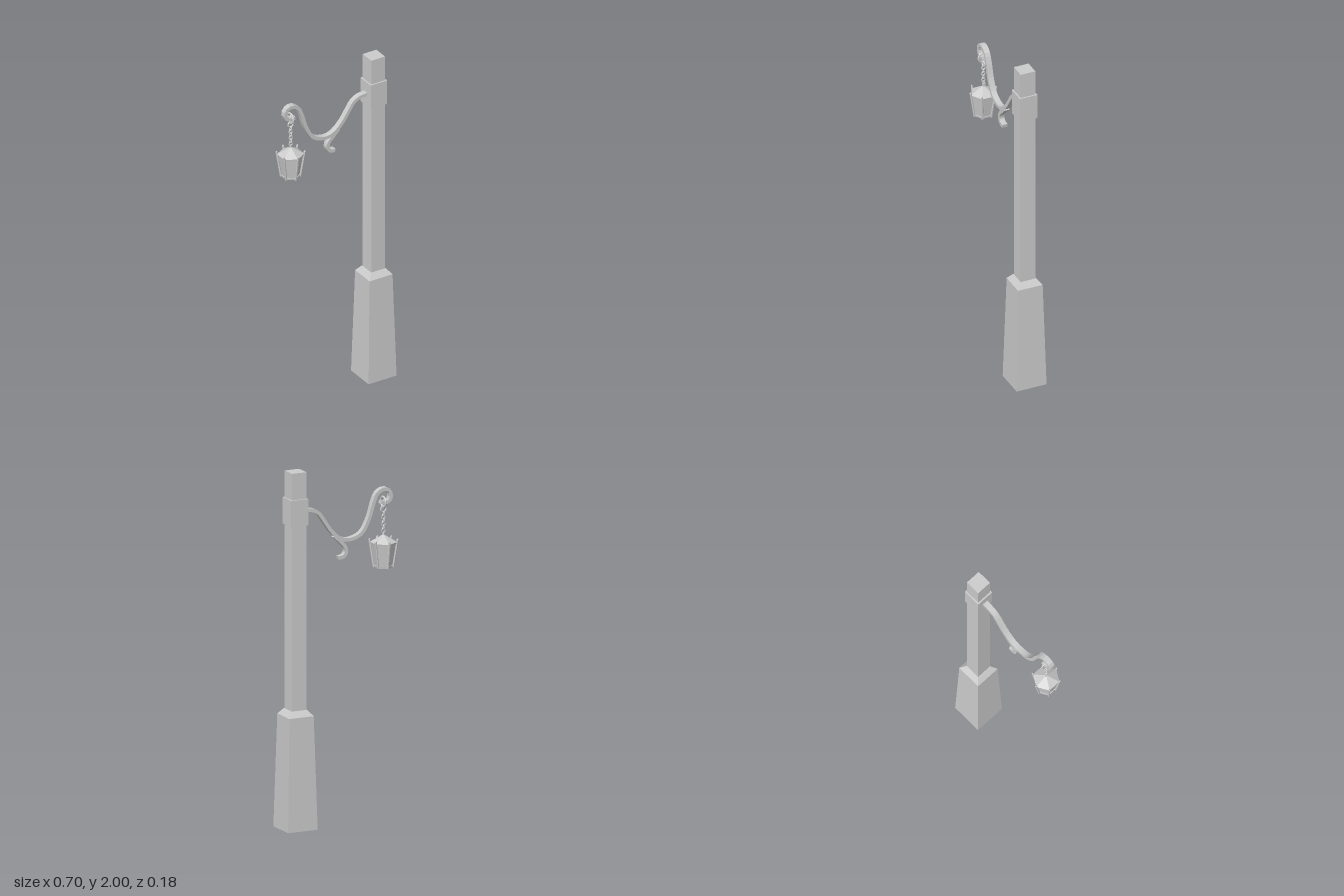
import * as THREE from 'three';

const metal = new THREE.MeshStandardMaterial({ color: 0xcccccc, flatShading: true });
const POST_X = 0.257, LAMP_X = -0.278;

function add(parent, name, geometry, x = 0, y = 0, z = 0) {
  const mesh = new THREE.Mesh(geometry, metal);
  mesh.name = name;
  mesh.position.set(x, y, z);
  parent.add(mesh);
  return mesh;
}

// Square block that tapers from half-width a (bottom) to b (top)
function taperedBlock(a, b, height) {
  return new THREE.CylinderGeometry(b * Math.SQRT2, a * Math.SQRT2, height, 4).rotateY(Math.PI / 4);
}

// Flat bar following a curve in the xy plane, given thickness and depth in z
function bar(points, segments, thickness, depth) {
  const curve = new THREE.CatmullRomCurve3(points.map(([x, y]) => new THREE.Vector3(x, y, 0)));
  const upper = [], lower = [];
  for (let i = 0; i <= segments; i++) {
    const p = curve.getPointAt(i / segments), t = curve.getTangentAt(i / segments);
    const nx = -t.y * thickness / 2, ny = t.x * thickness / 2;
    upper.push(new THREE.Vector2(p.x + nx, p.y + ny));
    lower.unshift(new THREE.Vector2(p.x - nx, p.y - ny));
  }
  const shape = new THREE.Shape([...upper, ...lower]);
  return new THREE.ExtrudeGeometry(shape, { depth, bevelEnabled: false }).translate(0, 0, -depth / 2);
}

// Thin round rod between two points
function rod(a, b, radius) {
  return new THREE.TubeGeometry(new THREE.LineCurve3(a, b), 1, radius, 6, false);
}

function buildLantern() {
  const lantern = new THREE.Group();
  lantern.name = 'lantern';
  lantern.position.x = LAMP_X;
  const bottom = 1.405, rim = 1.54;

  // Hexagonal panes, floor, rim and roof
  add(lantern, 'lanternPanes', new THREE.CylinderGeometry(0.068, 0.047, rim - bottom - 0.006, 6), 0, (rim + bottom) / 2);
  add(lantern, 'lanternFloor', new THREE.CylinderGeometry(0.054, 0.052, 0.01, 6), 0, bottom + 0.005);
  add(lantern, 'lanternRim', new THREE.CylinderGeometry(0.075, 0.073, 0.01, 6), 0, rim);
  add(lantern, 'lanternRoof', new THREE.CylinderGeometry(0.008, 0.075, 0.04, 6), 0, rim + 0.025);
  add(lantern, 'roofFinial', new THREE.CylinderGeometry(0.005, 0.008, 0.018, 6), 0, rim + 0.052);

  // Corner rods rising past the roof, with capped ends
  for (let i = 0; i < 6; i++) {
    const a = i * Math.PI / 3;
    const at = (r, y) => new THREE.Vector3(Math.sin(a) * r, y, Math.cos(a) * r);
    add(lantern, 'cornerRod', rod(at(0.053, bottom), at(0.077, 1.56), 0.006));
    const tip = at(0.077, 1.56);
    add(lantern, 'rodTip', new THREE.ConeGeometry(0.006, 0.008, 6), tip.x, tip.y + 0.003, tip.z);
  }
  return lantern;
}

function buildChain() {
  const chain = new THREE.Group();
  chain.name = 'chain';
  chain.position.x = LAMP_X;

  // Large loop around the end of the arm, then a ring below it
  add(chain, 'hangingLoop', new THREE.TorusGeometry(0.029, 0.006, 6, 16), 0, 1.769).rotation.y = Math.PI / 2;
  add(chain, 'hangingRing', new THREE.TorusGeometry(0.016, 0.005, 6, 14), 0, 1.73);

  // Small links turned alternately
  for (let i = 0; i < 6; i++) {
    const link = add(chain, 'chainLink', new THREE.TorusGeometry(0.01, 0.0035, 5, 10).scale(1, 1.2, 1), 0, 1.703 - i * 0.019);
    link.rotation.y = i % 2 ? 0 : Math.PI / 2;
  }
  return chain;
}

export function createModel() {
  const model = new THREE.Group();
  model.name = 'streetLamp';

  // Post, pedestal and collar
  add(model, 'pedestal', taperedBlock(0.09, 0.074, 0.635), POST_X, 0.3175);
  add(model, 'pedestalBevel', taperedBlock(0.074, 0.048, 0.032), POST_X, 0.651);
  add(model, 'post', new THREE.BoxGeometry(0.088, 1.34, 0.088), POST_X, 1.33);
  add(model, 'collar', new THREE.BoxGeometry(0.105, 0.148, 0.105), POST_X, 1.777);

  // Curved arm with its hooked end
  add(model, 'arm', bar([
    [0.215, 1.778], [0.156, 1.772], [0.12, 1.751], [0.093, 1.714], [0.045, 1.645],
    [-0.008, 1.598], [-0.056, 1.584], [-0.135, 1.608], [-0.183, 1.683], [-0.214, 1.778],
    [-0.237, 1.825], [-0.278, 1.845], [-0.308, 1.833], [-0.319, 1.804], [-0.309, 1.777],
    [-0.28, 1.767], [-0.257, 1.773],
  ], 44, 0.02, 0.032));

  // Small scroll under the arm
  add(model, 'armScroll', bar([
    [0.024, 1.614], [-0.013, 1.577], [-0.04, 1.547], [-0.046, 1.515], [-0.03, 1.493], [0, 1.488],
  ], 14, 0.02, 0.031));

  model.add(buildChain(), buildLantern());
  return model;
}
